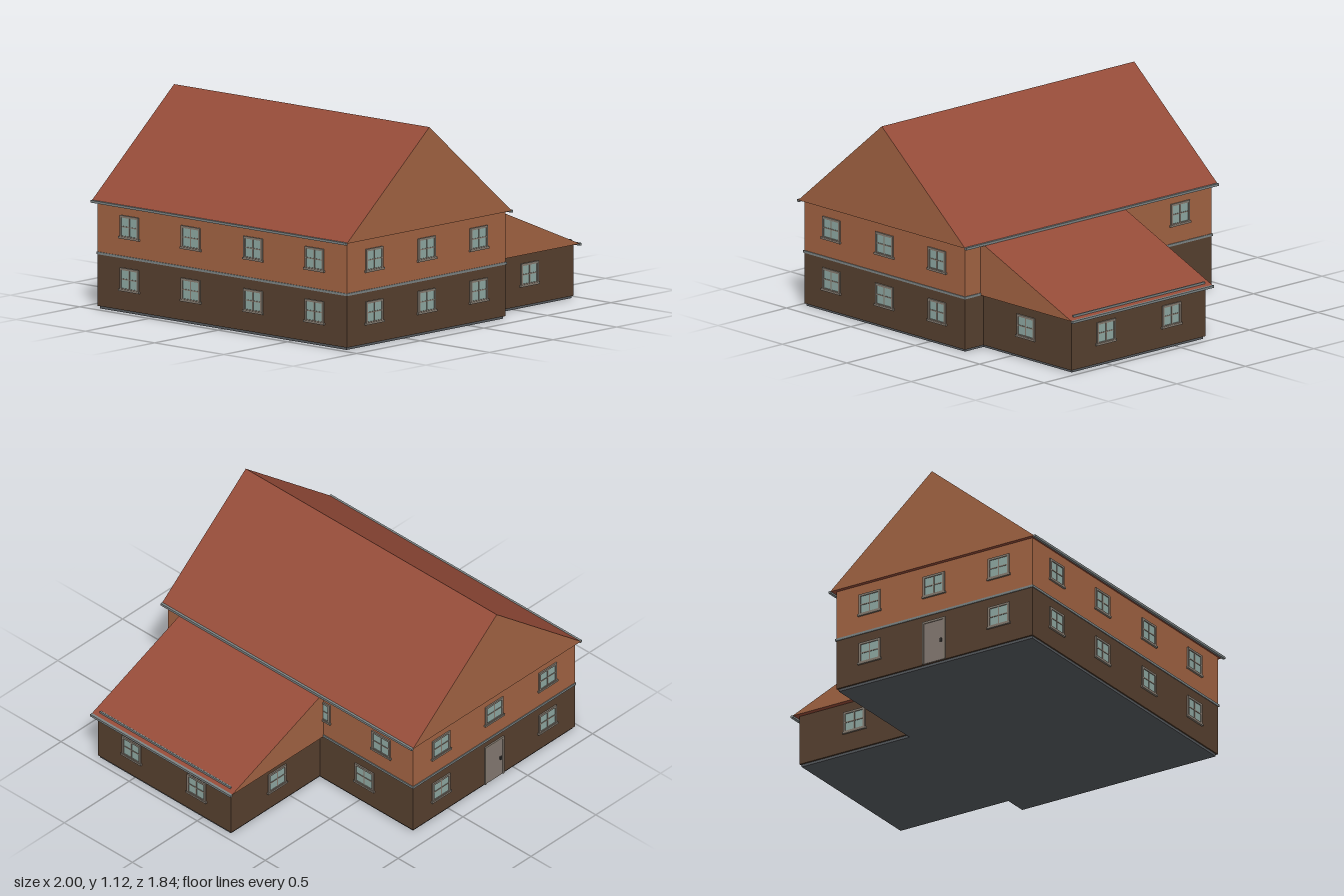
import * as THREE from 'three';

const mat = (name, color) => {
  const m = new THREE.MeshStandardMaterial({ color });
  m.name = name;
  return m;
};

export function createModel() {
  const house = new THREE.Group();
  house.name = 'house';

  const timber = mat('dark timber', 0x57402f);
  const plaster = mat('orange plaster', 0xa36443);
  const tile = mat('roof red', 0x954b38);
  const trim = mat('grey trim', 0x7d8484);
  const stone = mat('foundation grey', 0x55595d);
  const frameMat = mat('window frame', 0x857b70);
  const glass = mat('window glass', 0x8fa9a3);
  const doorMat = mat('door', 0x857a72);
  const metal = mat('dark metal', 0x3c3a38);

  // Box given by its limits on each axis
  function box(name, m, x0, x1, y0, y1, z0, z1, parent = house) {
    const mesh = new THREE.Mesh(new THREE.BoxGeometry(x1 - x0, y1 - y0, z1 - z0), m);
    mesh.position.set((x0 + x1) / 2, (y0 + y1) / 2, (z0 + z1) / 2);
    mesh.name = name;
    parent.add(mesh);
    return mesh;
  }

  // Solid roof: plaster gable ends, tiled slopes
  function roof(name, points, z0, z1) {
    const shape = new THREE.Shape(points.map(([x, y]) => new THREE.Vector2(x, y)));
    const geo = new THREE.ExtrudeGeometry(shape, { depth: z1 - z0, bevelEnabled: false });
    const mesh = new THREE.Mesh(geo, [plaster, tile]);
    mesh.position.z = z0;
    mesh.name = name;
    house.add(mesh);
  }

  // Foundations
  box('mainFoundation', stone, -0.96, 0.27, 0, 0.02, -0.89, 0.89);
  box('wingFoundation', stone, 0.27, 0.955, 0, 0.02, -0.205, 0.755);

  // Walls
  box('groundFloor', timber, -0.968, 0.28, 0.014, 0.295, -0.9, 0.9);
  box('upperFloor', plaster, -0.968, 0.28, 0.295, 0.585, -0.9, 0.9);
  box('wingWalls', timber, 0.28, 0.963, 0.014, 0.295, -0.215, 0.765);

  // Trim band between the storeys
  box('storeyBand', trim, -0.973, 0.285, 0.294, 0.307, -0.905, 0.905);

  // Roofs
  roof('mainRoof', [[-0.992, 0.583], [0.305, 0.583], [-0.343, 1.125]], -0.922, 0.922);
  roof('wingRoof', [[0.28, 0.294], [0.99, 0.294], [0.305, 0.577], [0.28, 0.585]], -0.243, 0.787);

  // Gutters along the eaves
  box('leftGutter', trim, 0.3, 0.314, 0.574, 0.587, -0.922, 0.922);
  box('rightGutter', trim, -1, -0.986, 0.574, 0.587, -0.922, 0.922);
  box('wingGutter', trim, 0.984, 1, 0.284, 0.297, -0.243, 0.787);

  // Snow guard on the wing roof
  box('snowGuard', trim, 0.954, 0.964, 0.3, 0.316, -0.21, 0.75);

  // Places a part built facing +z on a wall; yaw turns it outwards
  function mount(part, x, y, z, yaw) {
    part.position.set(x, y, z);
    part.rotation.y = yaw;
    house.add(part);
  }

  // Cross-barred window with frame and sill
  function addWindow(x, y, z, yaw) {
    const g = new THREE.Group();
    g.name = 'window';
    const w = 0.068, h = 0.061, t = 0.012;
    box('glass', glass, -w + t, w - t, -h + t, h - t, 0, 0.003, g);
    for (const s of [-1, 1]) {
      const a = s * w, b = s * (w - t), c = s * h, d = s * (h - t);
      box('frameSide', frameMat, Math.min(a, b), Math.max(a, b), -h, h, 0, 0.008, g);
      box('frameRail', frameMat, -w, w, Math.min(c, d), Math.max(c, d), 0, 0.008, g);
    }
    box('uprightBar', frameMat, -0.003, 0.003, -h + t, h - t, 0, 0.006, g);
    box('crossBar', frameMat, -w + t, w - t, -0.003, 0.003, 0, 0.006, g);
    box('sill', frameMat, -w - 0.006, w + 0.006, -h - 0.004, -h + 0.007, 0, 0.011, g);
    mount(g, x, y, z, yaw);
  }

  const low = 0.182, high = 0.466;

  // Front and back windows; the door takes the middle place at the back
  for (const x of [-0.755, -0.343, 0.066]) {
    addWindow(x, low, 0.9, 0);
    addWindow(x, high, 0.9, 0);
    addWindow(x, high, -0.9, Math.PI);
    if (x !== -0.343) addWindow(x, low, -0.9, Math.PI);
  }
  addWindow(0.612, low, 0.765, 0);
  addWindow(0.612, low, -0.215, Math.PI);

  // Side windows
  for (const z of [-0.668, -0.225, 0.225, 0.668]) {
    addWindow(-0.968, low, z, -Math.PI / 2);
    addWindow(-0.968, high, z, -Math.PI / 2);
  }
  for (const z of [-0.668, -0.225]) addWindow(0.28, high, z, Math.PI / 2);
  addWindow(0.28, low, -0.545, Math.PI / 2);
  for (const z of [0.515, 0.037]) addWindow(0.963, low, z, Math.PI / 2);

  // Back door
  const door = new THREE.Group();
  door.name = 'door';
  box('doorLeaf', doorMat, -0.062, 0.062, 0, 0.235, 0, 0.005, door);
  for (const s of [-1, 1]) box('doorPost', frameMat, s * 0.067 - 0.006, s * 0.067 + 0.006, 0, 0.245, 0, 0.009, door);
  box('doorLintel', frameMat, -0.073, 0.073, 0.234, 0.246, 0, 0.009, door);
  box('doorHandle', metal, 0.04, 0.052, 0.105, 0.125, 0.005, 0.012, door);
  mount(door, -0.343, 0.015, -0.9, Math.PI);

  return house;
}
